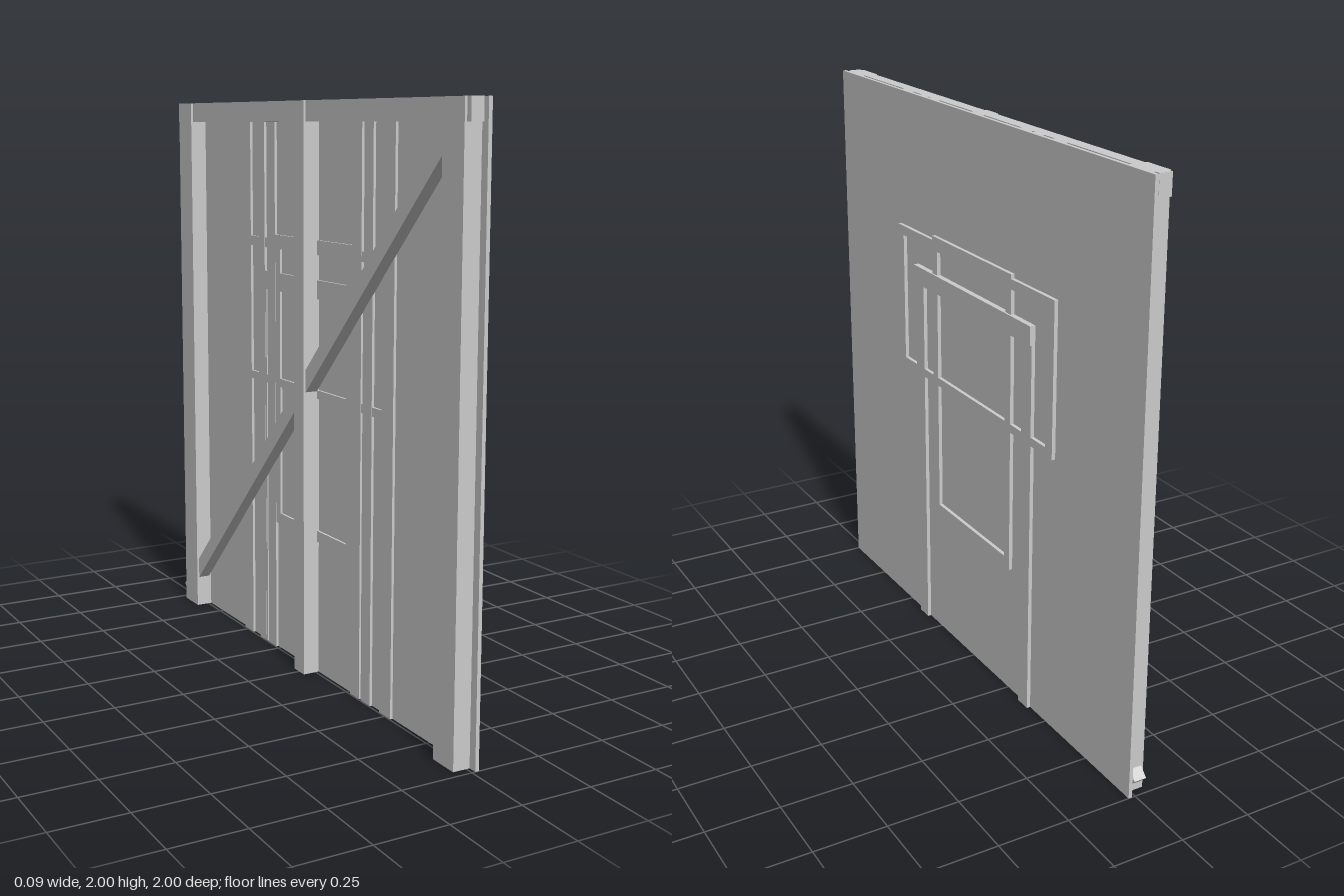
import * as THREE from 'three';

const material = new THREE.MeshStandardMaterial({ color: 0xcccccc });

// Box given by its [min, max] extent on each axis
function bar(name, [x0, x1], [y0, y1], [z0, z1]) {
  const geometry = new THREE.BoxGeometry(x1 - x0, y1 - y0, z1 - z0);
  const mesh = new THREE.Mesh(geometry, material);
  mesh.position.set((x0 + x1) / 2, (y0 + y1) / 2, (z0 + z1) / 2);
  mesh.name = name;
  return mesh;
}

export function createModel() {
  const group = new THREE.Group();
  group.name = 'bracedWallPanel';
  const add = (...args) => group.add(bar(...args));

  // Thin facing sheet, decorated on +x and braced on -x
  add('facingSheet', [0.012, 0.025], [0, 2], [-1, 1]);

  // Rear frame: top rail and centre post
  add('topRail', [-0.04, 0.004], [1.93, 2], [-0.99, 0.99]);
  add('centrePost', [-0.048, 0.012], [0, 2], [-0.035, 0.035]);

  // Diagonal brace, running from the lower -z corner to the upper +z corner
  const z0 = -0.98, y0 = 0.035, z1 = 0.92, y1 = 1.945;
  const length = Math.hypot(z1 - z0, y1 - y0);
  const brace = new THREE.Mesh(new THREE.BoxGeometry(0.044, 0.055, length), material);
  brace.position.set(-0.018, (y0 + y1) / 2, (z0 + z1) / 2);
  brace.rotation.x = -Math.atan2(y1 - y0, z1 - z0);
  brace.name = 'diagonalBrace';
  group.add(brace);

  // Raised trim goes through the sheet and shows on both sides
  const trim = [0.004, 0.038];
  add('trimTopBar', trim, [1.485, 1.52], [-0.53, 0.53]);
  add('trimTopCap', trim, [1.485, 1.535], [-0.27, 0.27]);
  add('trimMiddleBar', trim, [0.99, 1.02], [-0.53, 0.53]);
  add('trimSill', trim, [0.48, 0.52], [-0.27, 0.27]);
  add('trimHeader', [0.004, 0.045], [1.335, 1.4], [-0.4, 0.4]);

  // Paired uprights; range is given for the +z side and mirrored
  const pair = (name, x, y, [a, b]) => {
    add(name, x, y, [a, b]);
    add(name, x, y, [-b, -a]);
  };
  pair('sidePost', [-0.048, 0.012], [0, 2], [0.86, 0.97]);
  pair('trimOuterUpright', trim, [0.99, 1.52], [0.49, 0.53]);
  pair('trimInnerUpright', trim, [0.48, 1.535], [0.235, 0.27]);
  pair('trimLeg', trim, [0, 1.4], [0.34, 0.4]);

  // Full-height packing battens behind the sheet
  for (const range of [[0.46, 0.53], [0.35, 0.4], [0.27, 0.33]])
    pair('rearBatten', [0.003, 0.013], [0, 2], range);

  return group;
}
